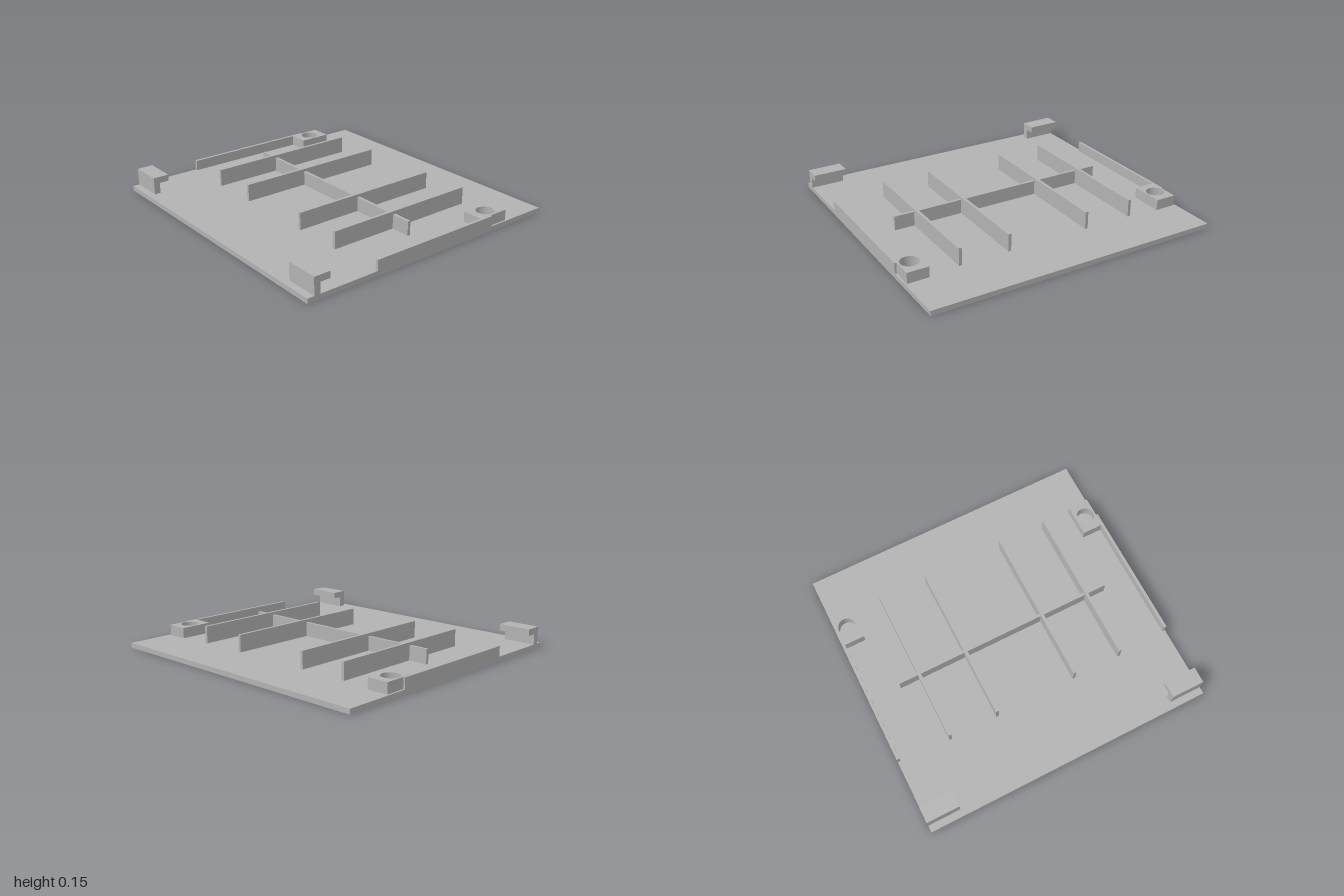
import * as THREE from 'three';

const BASE = 0.033; // top of the base plate
const SINK = 0.02;  // raised parts start slightly inside the plate

export function createModel() {
  const model = new THREE.Group();
  model.name = 'panel';
  const grey = new THREE.MeshStandardMaterial({ color: 0xb2b2b2 });
  grey.name = 'plain grey';

  const add = (name, geometry) => {
    const mesh = new THREE.Mesh(geometry, grey);
    mesh.name = name;
    model.add(mesh);
    return mesh;
  };
  // Box given by its limits on each axis
  const block = (name, x0, x1, y0, y1, z0, z1) => {
    const g = new THREE.BoxGeometry(x1 - x0, y1 - y0, z1 - z0);
    g.translate((x0 + x1) / 2, (y0 + y1) / 2, (z0 + z1) / 2);
    return add(name, g);
  };

  block('basePlate', -1, 1, 0, BASE, -0.955, 0.955);

  // Long ribs and the lower rib that crosses them
  for (const x of [-0.628, -0.287, 0.285, 0.626]) {
    block('longRib', x - 0.01, x + 0.01, SINK, 0.15, -0.61, 0.473);
  }
  block('crossRib', -0.772, 0.772, SINK, 0.13, -0.01, 0.01);

  // Hook profile: upright web with a lip pointing backwards
  const hook = new THREE.Shape([
    [0.865, SINK], [0.908, SINK], [0.908, 0.15], [0.797, 0.15], [0.797, 0.106], [0.865, 0.106],
  ].map(([z, y]) => new THREE.Vector2(z, y)));

  // Square boss with a round bore
  const boss = new THREE.Shape([
    [-0.0725, -0.1125], [0.0725, -0.1125], [0.0725, 0.1125], [-0.0725, 0.1125],
  ].map(([x, y]) => new THREE.Vector2(x, y)));
  const bore = new THREE.Path();
  bore.absarc(0, 0, 0.06, 0, Math.PI * 2, true);
  boss.holes.push(bore);

  for (const [side, s] of [['left', 1], ['right', -1]]) {
    // Low wall flush with the plate's edge
    block(side + 'EdgeWall', s * 0.99 - 0.01, s * 0.99 + 0.01, SINK, 0.104, -0.498, 0.453);

    const hookGeometry = new THREE.ExtrudeGeometry(hook, { depth: 0.227, bevelEnabled: false });
    hookGeometry.rotateY(-Math.PI / 2);
    hookGeometry.translate(s > 0 ? 1 : -0.773, 0, 0);
    add(side + 'Hook', hookGeometry);

    const bossGeometry = new THREE.ExtrudeGeometry(boss, {
      depth: 0.105 - SINK, bevelEnabled: false, curveSegments: 32,
    });
    bossGeometry.rotateX(-Math.PI / 2);
    bossGeometry.translate(s * 0.915, SINK, -0.523);
    add(side + 'ScrewBoss', bossGeometry);
  }
  return model;
}
